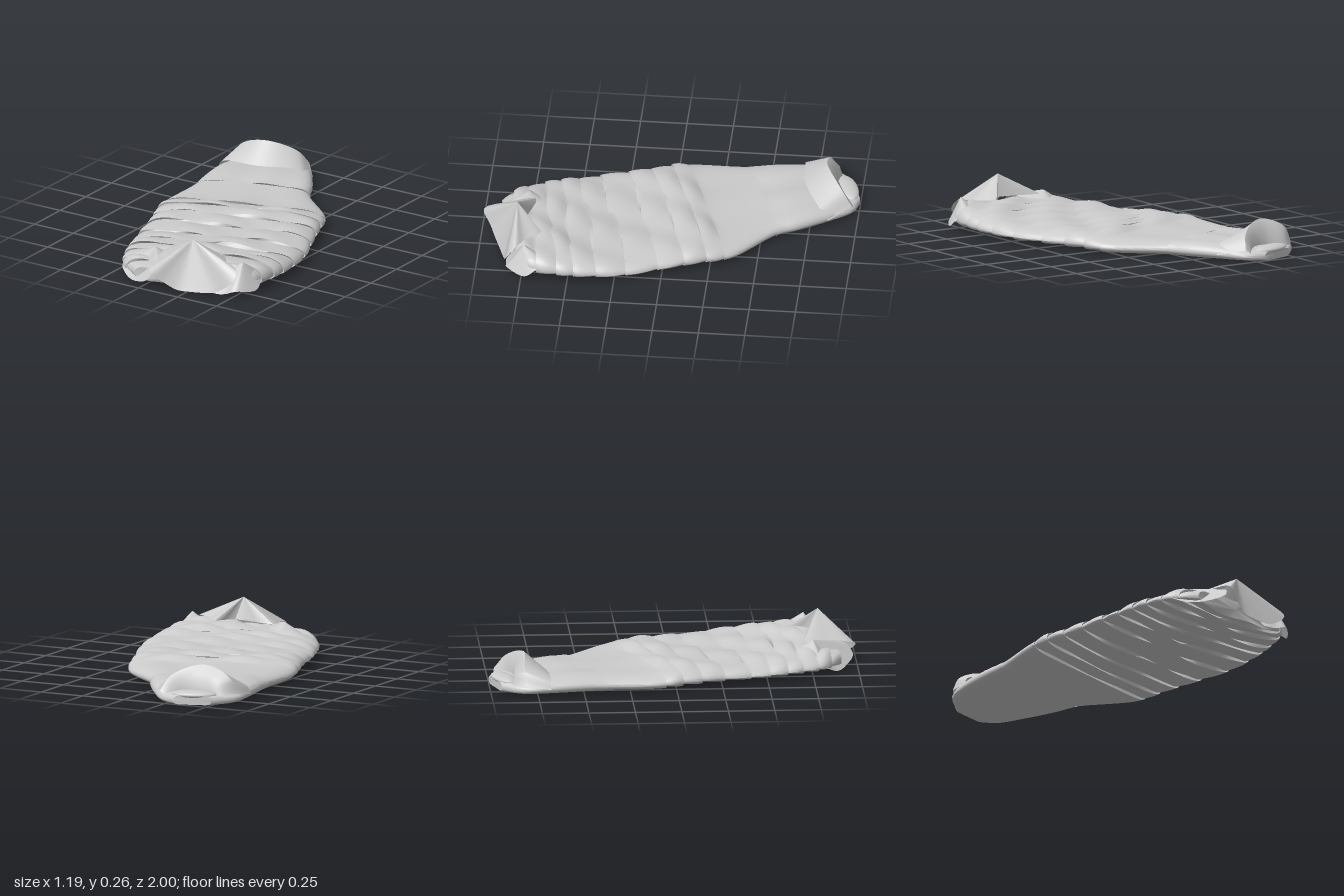
import * as THREE from 'three';
import { toCreasedNormals } from 'three/addons/utils/BufferGeometryUtils.js';

const material = new THREE.MeshStandardMaterial({ color: 0xcccccc, side: THREE.DoubleSide });
const V = (p) => new THREE.Vector3(...p);

// Skin a list of equally long rows of points
function skin(name, rows, crease = 0.7) {
  const n = rows[0].length;
  const index = [];
  for (let i = 0; i < rows.length - 1; i++) {
    for (let j = 0; j < n - 1; j++) {
      const a = i * n + j, c = a + n;
      index.push(a, c, a + 1, a + 1, c, c + 1);
    }
  }
  const geo = new THREE.BufferGeometry().setFromPoints(rows.flat());
  geo.setIndex(index);
  const mesh = new THREE.Mesh(toCreasedNormals(geo, crease), material);
  mesh.name = name;
  return mesh;
}

// Peaked fold: straight spokes from an apex to a closed edge
function peak(name, apex, edge) {
  const top = V(apex);
  const rim = new THREE.CatmullRomCurve3(edge.map(V), true, 'centripetal').getPoints(48);
  const rows = [];
  for (let k = 0; k <= 8; k++) {
    rows.push(rim.map((p) => {
      const q = top.clone().lerp(p, k / 8);
      return q.setY(Math.max(0, q.y));
    }));
  }
  return skin(name, rows);
}

// Stations from head to foot: left x, z, right x, z, thickness at left and right
const stations = [
  [-0.50, -0.94, -0.30, -1.00, 0.05, 0.05],
  [-0.59, -0.82, -0.21, -0.97, 0.055, 0.055],
  [-0.595, -0.68, -0.10, -0.84, 0.078, 0.078],
  [-0.57, -0.50, 0.00, -0.69, 0.085, 0.085],
  [-0.55, -0.38, 0.05, -0.59, 0.078, 0.078],
  [-0.54, -0.09, 0.30, -0.36, 0.08, 0.08],
  [-0.50, 0.05, 0.36, -0.22, 0.098, 0.098],
  [-0.44, 0.21, 0.43, -0.04, 0.09, 0.088],
  [-0.38, 0.42, 0.53, 0.20, 0.082, 0.09],
  [-0.33, 0.57, 0.57, 0.42, 0.085, 0.11],
  [-0.28, 0.70, 0.575, 0.56, 0.09, 0.13],
  [-0.21, 0.82, 0.55, 0.71, 0.09, 0.14],
  [-0.08, 0.91, 0.46, 0.78, 0.09, 0.11],
];
const last = stations.length - 1;
const smooth = (f) => new THREE.CatmullRomCurve3(stations.map(f), false, 'centripetal');
const leftEdge = smooth((s) => V([s[0], s[4], s[1]]));
const rightEdge = smooth((s) => V([s[2], s[5], s[3]]));

// Closed cross-section: rounded top, underside flat at the head and rolled up at the foot
function section(t, lift, rise, seed) {
  const u = THREE.MathUtils.clamp(t / last, 0, 1);
  const L = leftEdge.getPoint(u), R = rightEdge.getPoint(u);
  const mid = L.clone().add(R).multiplyScalar(0.5);
  const half = R.clone().sub(mid).multiplyScalar(1 + lift * 1.6);
  const row = [];
  const N = 32;
  const rolled = THREE.MathUtils.smoothstep(t, 4.5, 8);
  const power = THREE.MathUtils.lerp(10, 4, rolled);
  // Seams wander a little along the length
  const place = (s, y) => {
    const p = mid.clone().addScaledVector(half, s).setY(y);
    p.z += 0.018 * rolled * (1 - s * s) * Math.sin(4 * s + 1.7 * seed);
    row.push(p);
  };
  const thickness = (s) => mid.y + half.y * s;
  for (let j = 0; j <= N; j++) {
    const s = Math.sin((j / N - 0.5) * Math.PI);
    const crown = Math.sqrt(Math.max(0, 1 - Math.abs(s) ** 6));
    const wave = 1 + 0.06 * Math.sin(3.2 * s + 2.3 * seed);
    const puff = lift * (0.6 + 0.6 * Math.sin(8 * s + 2.1 * seed));
    place(s, thickness(s) * 0.42 + crown * (thickness(s) * 0.58 * wave + puff));
  }
  for (let j = N; j >= 0; j--) {
    const s = Math.sin((j / N - 0.5) * Math.PI);
    const under = 1 - Math.sqrt(Math.max(0, 1 - Math.abs(s) ** power));
    const tuck = rise * (0.4 + 0.6 * Math.abs(s)) * (1 - s ** 8);
    place(s, thickness(s) * 0.42 * under + tuck);
  }
  row.push(row[0].clone());
  return row;
}

function body() {
  // Panel seams: two plain head panels, then narrow overlapping pleats
  const pleatStart = 5.2;
  const seams = [0, 4, pleatStart];
  for (let k = 1; k <= 10; k++) seams.push(pleatStart + (k * (last - pleatStart)) / 10);
  const rows = [];
  for (let p = 0; p < seams.length - 1; p++) {
    const plain = p < 2;
    const steps = plain ? 14 : 7;
    for (let k = 0; k <= steps; k++) {
      const f = k / steps;
      const over = p < seams.length - 2 ? 0.03 * f : 0;
      const t = seams[p] + (seams[p + 1] - seams[p]) * f + over;
      const lift = plain ? 0.008 * f : 0.017 * Math.sin(f * 2.3);
      rows.push(section(t, lift, plain ? 0 : 0.028 * (1 - f) ** 1.4, p));
    }
  }
  // Close both ends
  const cap = (row, y) => {
    const c = row.reduce((a, q) => a.add(q), V([0, 0, 0])).divideScalar(row.length).setY(y);
    return row.map(() => c.clone());
  };
  rows.unshift(cap(rows[0], 0.025));
  rows.push(cap(rows[rows.length - 1], 0.05));
  return skin('quiltedBody', rows, 0.6);
}

// Arched hood: inner lip, raised rim, then the slope down to the body
function hood() {
  const lines = [
    [[-0.54, 0.03, -0.89], [-0.50, 0.05, -0.885], [-0.40, 0.055, -0.87], [-0.30, 0.05, -0.90], [-0.24, 0.03, -0.97]],
    [[-0.56, 0.05, -0.86], [-0.51, 0.11, -0.87], [-0.39, 0.15, -0.86], [-0.27, 0.115, -0.91], [-0.22, 0.05, -0.97]],
    [[-0.595, 0.05, -0.81], [-0.545, 0.14, -0.82], [-0.39, 0.195, -0.815], [-0.24, 0.14, -0.905], [-0.20, 0.06, -0.965]],
    [[-0.602, 0.03, -0.68], [-0.575, 0.078, -0.68], [-0.36, 0.09, -0.70], [-0.14, 0.08, -0.795], [-0.095, 0.03, -0.845]],
  ];
  const rows = lines.map((l) => new THREE.CatmullRomCurve3(l.map(V), false, 'centripetal').getPoints(28));
  return skin('hood', rows, 0.8);
}

export function createModel() {
  const group = new THREE.Group();
  group.name = 'sleepingBag';
  group.add(body(), hood());

  // Padding inside the hood opening
  const pillow = new THREE.Mesh(new THREE.SphereGeometry(1, 28, 14), material);
  pillow.name = 'pillow';
  pillow.scale.set(0.12, 0.022, 0.055);
  pillow.position.set(-0.39, 0.05, -0.925);
  pillow.rotation.y = 0.33;
  group.add(pillow);

  // Tented foot flap and the gathered folds on either side
  group.add(
    peak('footFlap', [0.22, 0.26, 0.8], [
      [0.0, 0.14, 0.72], [0.03, 0.13, 0.86], [0.065, 0.1, 0.995], [0.13, 0.045, 0.955],
      [0.2, 0.003, 0.92], [0.3, 0.0, 0.885], [0.4, 0.012, 0.855], [0.5, 0.09, 0.83],
      [0.49, 0.14, 0.79], [0.4, 0.14, 0.74], [0.32, 0.145, 0.66], [0.25, 0.14, 0.76],
    ]),
    peak('rightFootFold', [-0.05, 0.152, 0.76], [
      [-0.22, 0.04, 0.82], [-0.14, 0.0, 0.89], [-0.05, 0.01, 0.94], [0.04, 0.05, 0.98],
      [0.07, 0.11, 0.93], [0.05, 0.11, 0.76], [-0.04, 0.09, 0.66], [-0.16, 0.08, 0.75],
    ]),
    peak('leftFootFold', [0.5, 0.17, 0.74], [
      [0.37, 0.002, 0.84], [0.44, 0.005, 0.84], [0.51, 0.03, 0.83], [0.575, 0.02, 0.73],
      [0.57, 0.06, 0.67], [0.53, 0.09, 0.62], [0.44, 0.09, 0.66], [0.38, 0.09, 0.75],
    ]),
  );
  return group;
}
